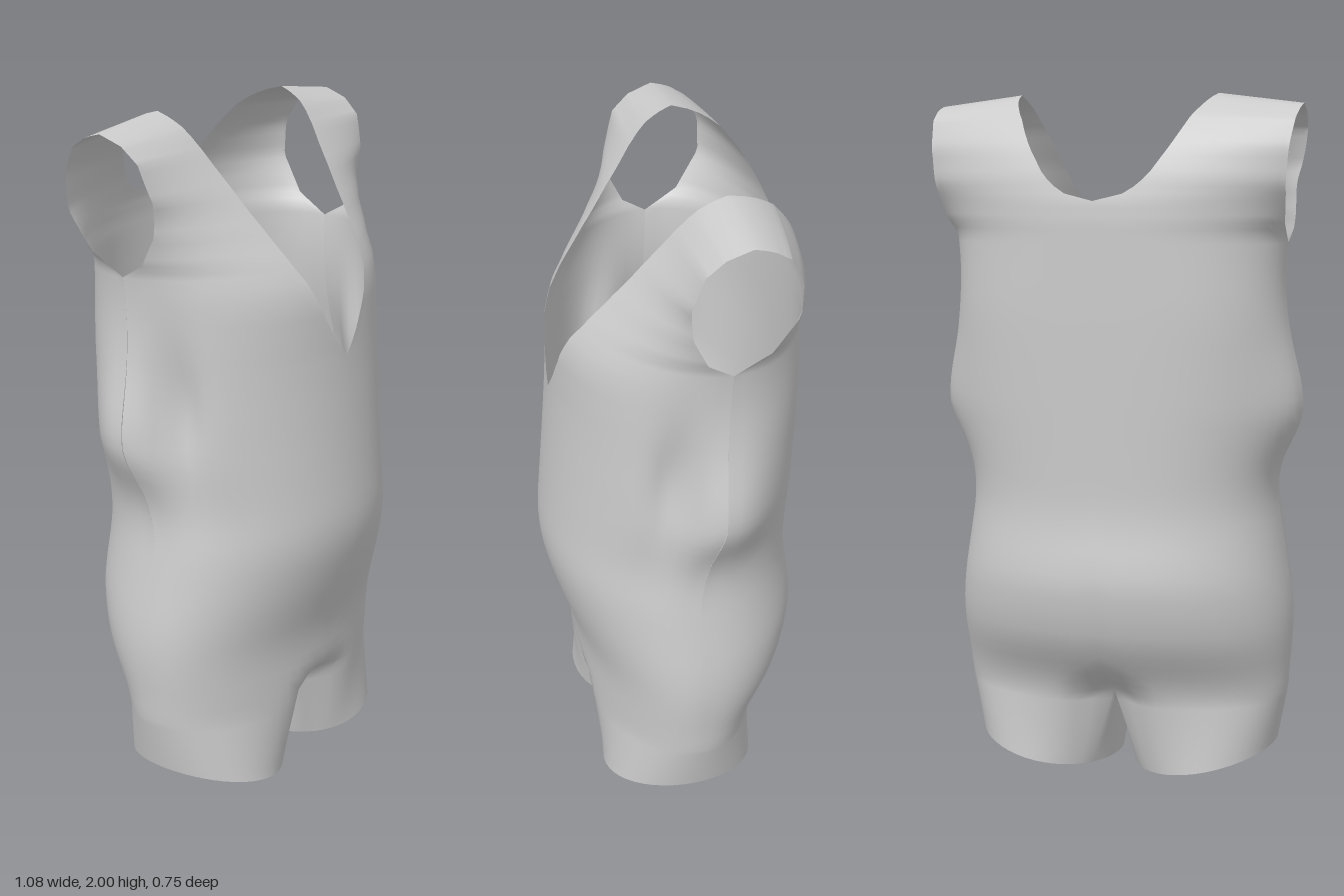
import * as THREE from 'three';
import { mergeVertices } from 'three/addons/utils/BufferGeometryUtils.js';

// Piecewise-linear profile through [y, value] pairs
const profile = (pts) => (y) => {
  if (y <= pts[0][0]) return pts[0][1];
  for (let i = 1; i < pts.length; i++) {
    const [y0, a] = pts[i - 1], [y1, b] = pts[i];
    if (y <= y1) return a + (b - a) * (y - y0) / (y1 - y0);
  }
  return pts[pts.length - 1][1];
};
// The same with rounded corners, exact at the shoulder ridge
const softProfile = (pts) => {
  const f = profile(pts);
  return (y) => {
    const r = Math.min(0.06, (RIDGE - y) / 2);
    return (f(y - r) + 2 * f(y) + f(y + r)) / 4;
  };
};
const bell = (v, centre, width) => Math.exp(-(((v - centre) / width) ** 2));

const RIDGE = 1.98, CROTCH = 0.25, COLS = 18;

// Half width, and depth of the side seam below the armhole
const halfWidth = softProfile([[0.25, 0.495], [0.45, 0.512], [0.55, 0.505], [0.7, 0.48], [0.87, 0.455],
  [1.1, 0.48], [1.35, 0.485], [1.5, 0.485], [1.62, 0.498], [1.72, 0.515], [1.82, 0.52], [1.98, 0.54]]);
const seam = [[0.25, 0], [0.8, 0], [1.1, -0.05], [1.58, -0.07]];

// depth: centre line; edge: seam or armhole; neck: neckline; cut: share of the side curve removed by the armhole
const panels = {
  front: {
    power: softProfile([[1.4, 2], [1.8, 1.8]]),
    depth: softProfile([[0.25, 0.28], [0.45, 0.285], [0.6, 0.335], [0.7, 0.365], [0.8, 0.383], [1.1, 0.355],
      [1.3, 0.338], [1.54, 0.33], [1.7, 0.21], [1.85, 0.08], [1.93, 0.01], [1.965, -0.045], [1.98, -0.1]]),
    edge: profile([...seam, [1.62, 0], [1.7, 0.04], [1.8, 0.05], [1.9, 0.02], [1.95, -0.03], [1.98, -0.1]]),
    neck: profile([[1.31, 0], [1.36, 0.045], [1.45, 0.1], [1.6, 0.17], [1.75, 0.22], [1.85, 0.25], [1.98, 0.295]]),
    cut: profile([[1.58, 0], [1.62, 0.2], [1.7, 0.39], [1.8, 0.58], [1.88, 0.7]]),
  },
  back: {
    power: softProfile([[0.3, 2.2], [0.8, 2.35], [1.4, 2.35], [1.8, 1.8]]),
    depth: softProfile([[0.25, -0.235], [0.32, -0.265], [0.42, -0.34], [0.6, -0.38], [0.8, -0.345], [1, -0.35],
      [1.3, -0.36], [1.7, -0.37], [1.85, -0.325], [1.93, -0.255], [1.965, -0.18], [1.98, -0.1]]),
    edge: profile([...seam, [1.64, -0.17], [1.75, -0.24], [1.85, -0.24], [1.93, -0.2], [1.965, -0.15], [1.98, -0.1]]),
    neck: profile([[1.7, 0], [1.706, 0.05], [1.727, 0.1], [1.77, 0.15], [1.845, 0.2], [1.92, 0.245], [1.98, 0.295]]),
    cut: profile([[1.58, 0], [1.64, 0.33], [1.75, 0.58], [1.85, 0.7]]),
  },
};

// One row of a half panel, from the centre or neckline out to the side
function panelRow(panel, y) {
  const isFront = panel === panels.front;
  const w = halfWidth(y) - (isFront ? 0.02 * bell(y, 1.74, 0.08) : 0);
  const p = panel.power(y), ze = panel.edge(y), cut = panel.cut(y);
  const s = (1 - cut ** p) ** (1 / p);
  const angleAt = (u) => Math.asin(Math.min(1, (u * s) ** (p / 2)));
  const start = angleAt(panel.neck(y) / w), end = angleAt(1);
  // loose fold at the side of the waist, fading slowly upwards
  const fold = bell(y, 1.1, y > 1.1 ? 0.2 : 0.13);
  const row = [];
  for (let j = 0; j <= COLS; j++) {
    const a = start + (end - start) * j / COLS;
    const u = Math.sin(a) ** (2 / p) / s;
    let x = u * (w + 0.062 * fold * u ** 10);
    // hollow in front of the fold
    if (isFront) x *= 1 - 0.14 * bell(y, 1.18, 0.2) * bell(a, 1.25, 0.18);
    const g = Math.max(0, Math.cos(a)) ** (2 / p);
    let z = ze + (panel.depth(y) - ze) * (g - cut) / (1 - cut);
    // hollow above the crotch
    z *= 1 - 0.42 * bell(x, 0, 0.085) * bell(y, 0.22, 0.065);
    const top = Math.max(0, (y - 1.85) / 0.13) ** 2;
    row.push([x, y + top * (0.02 - 0.125 * (x - 0.3)), z]);
  }
  return row;
}

// Adds quads between rows, together with the mirrored half
function addGrid(out, rows) {
  const tri = (a, b, c) => {
    out.push(...a, ...b, ...c);
    for (const q of [a, c, b]) out.push(-q[0], q[1], q[2]);
  };
  for (let i = 0; i + 1 < rows.length; i++) {
    for (let j = 0; j + 1 < rows[i].length; j++) {
      const a = rows[i][j], b = rows[i][j + 1], c = rows[i + 1][j + 1], d = rows[i + 1][j];
      tri(a, b, c);
      tri(a, c, d);
    }
  }
}

export function createModel() {
  const out = [];

  // Torso and shoulder straps, open at the neck and arms
  const heights = [];
  const stops = [[CROTCH, 1.31, 30], [1.31, 1.58, 8], [1.58, 1.7, 6], [1.7, 1.9, 10], [1.9, RIDGE, 8]];
  for (const [y0, y1, n] of stops) for (let i = 0; i < n; i++) heights.push(y0 + (y1 - y0) * i / n);
  heights.push(RIDGE);
  addGrid(out, heights.map((y) => panelRow(panels.front, y)));
  addGrid(out, heights.map((y) => panelRow(panels.back, y).reverse()));

  // Legs: outer half continues the torso, inner half hangs from the crotch line
  const upper = [...panelRow(panels.front, CROTCH), ...panelRow(panels.back, CROTCH).reverse().slice(1)];
  const outer = upper.length - 1, inner = 12;
  const zf = upper[0][2], zb = upper[outer][2];
  for (let k = 1; k <= inner; k++) {
    const t = k / inner;
    upper.push([0, CROTCH - 0.06 * Math.sin(Math.PI * t), zb + (zf - zb) * t]);
  }
  const hem = upper.map((_, k) => {
    const deg = k <= outer ? -50 + 280 * k / outer : 230 + 80 * (k - outer) / inner;
    const a = deg * Math.PI / 180;
    const x = 0.245 + 0.217 * Math.sin(a);
    return [x, 0.004 + 0.076 * (Math.max(0, x - 0.03) / 0.43) ** 1.8, 0.015 + 0.235 * Math.cos(a)];
  });
  const legRows = [];
  for (let i = 0; i <= 8; i++) {
    const t = i / 8;
    legRows.push(hem.map((h, k) => h.map((v, c) => v + (upper[k][c] - v) * t)));
  }
  addGrid(out, legRows);

  // Weld into one smooth cloth sheet
  let geometry = new THREE.BufferGeometry();
  geometry.setAttribute('position', new THREE.Float32BufferAttribute(out, 3));
  geometry = mergeVertices(geometry, 1e-4);
  geometry.computeVertexNormals();

  const suit = new THREE.Mesh(geometry, new THREE.MeshStandardMaterial({ color: 0xcccccc, side: THREE.DoubleSide }));
  suit.name = 'sleevelessBodysuit';
  const group = new THREE.Group();
  group.name = 'garment';
  group.add(suit);
  return group;
}
